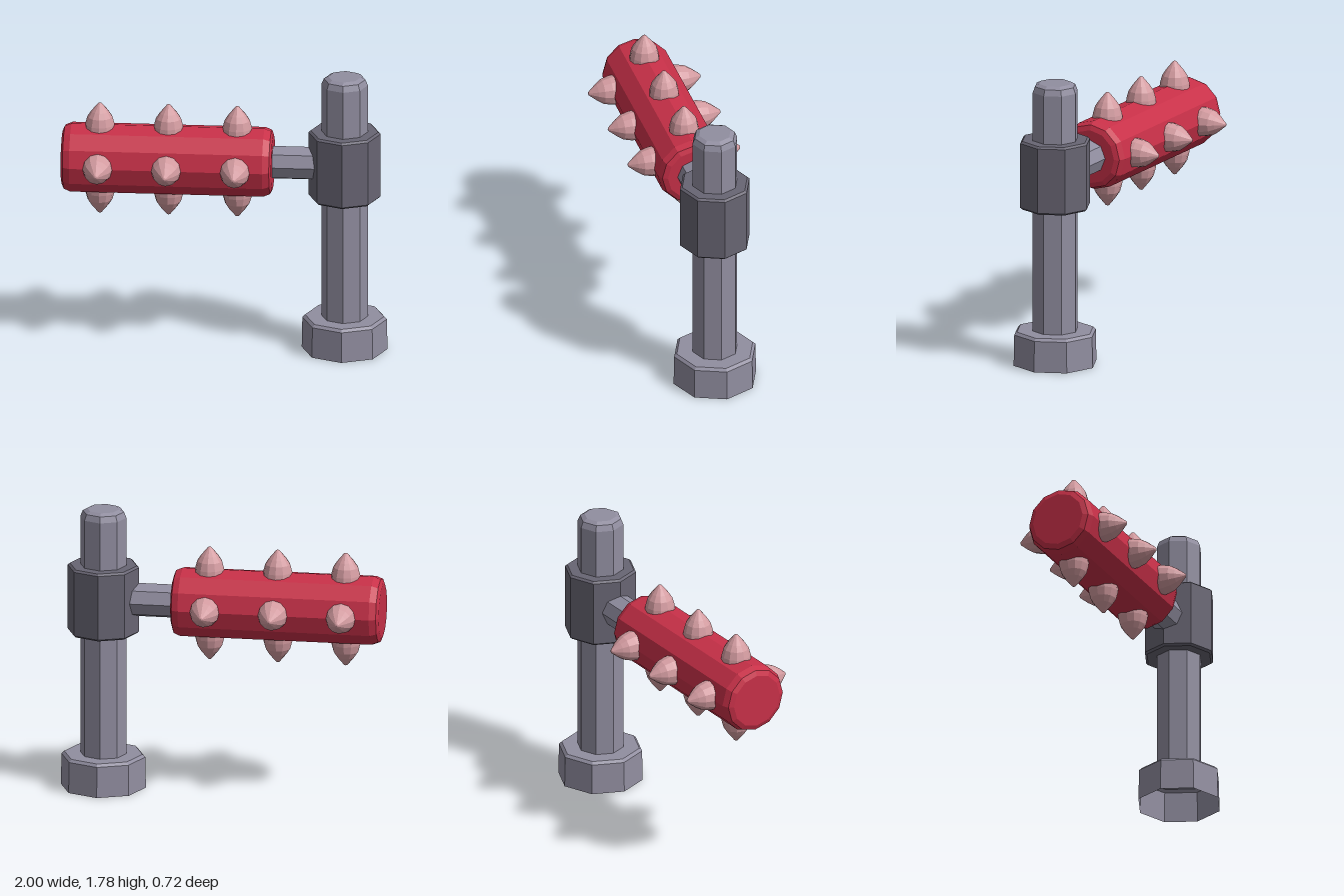
import * as THREE from 'three';

const CX = 0.735; // post axis
const CY = 1.205; // roller axis height

const mat = (name, color, side = THREE.FrontSide) => {
  const m = new THREE.MeshStandardMaterial({ color, side, flatShading: true });
  m.name = name;
  return m;
};

// Faceted solid of revolution about y; profile is [radius, height] from bottom to top
function turned(name, profile, sides, material) {
  const geo = new THREE.LatheGeometry(profile.map(([r, y]) => new THREE.Vector2(r, y)), sides);
  const mesh = new THREE.Mesh(geo, material);
  mesh.name = name;
  return mesh;
}

export function createModel() {
  const steel = mat('steel', 0x918ea0);
  const steelOpen = steel; // base shell is open underneath, so steel shows both sides
  steelOpen.side = THREE.DoubleSide;
  const darkSteel = mat('dark steel', 0x686573);
  const red = mat('red', 0xc83048);
  const pink = mat('pink', 0xd39ba0);

  const model = new THREE.Group();
  model.name = 'spikedRollerPost';

  // Upright: hollow foot, post and collar
  const upright = new THREE.Group();
  upright.name = 'upright';
  upright.position.x = CX;
  upright.add(
    turned('foot', [[0.264, 0], [0.26, 0.195], [0.243, 0.212], [0, 0.212]], 8, steelOpen),
    turned('post', [[0.143, 0.21], [0.143, 1.725], [0.128, 1.762], [0.1, 1.777], [0, 1.777]], 8, steel),
    turned('collar', [[0.14, 0.988], [0.208, 0.988], [0.222, 1.0], [0.222, 1.408], [0.208, 1.42], [0.14, 1.42]], 8, darkSteel)
  );
  model.add(upright);

  // Arm: everything turned about the horizontal axis, local +y running to -x
  const arm = new THREE.Group();
  arm.name = 'arm';
  arm.position.set(0, CY, 0);
  arm.rotation.z = Math.PI / 2;
  arm.add(
    turned('axle', [[0, -0.64], [0.106, -0.64], [0.106, -0.27], [0, -0.27]], 8, steel),
    turned('roller', [
      [0, -0.295], [0.168, -0.295], [0.2, -0.283], [0.217, -0.242],
      [0.217, 0.945], [0.2, 0.986], [0.168, 1], [0, 1]
    ], 12, red)
  );
  model.add(arm);

  // Spikes: three rings of four around the roller
  const spikeProfile = [[0.094, 0.18], [0.09, 0.222], [0.077, 0.27], [0.054, 0.305], [0.011, 0.357], [0, 0.361]];
  for (const x of [-0.77, -0.348, 0.075]) {
    const ring = new THREE.Group();
    ring.name = 'spikeRing';
    ring.position.set(x, CY, 0);
    for (let i = 0; i < 4; i++) {
      const spike = turned('spike', spikeProfile, 12, pink);
      spike.rotation.x = (i * Math.PI) / 2;
      ring.add(spike);
    }
    model.add(ring);
  }
  return model;
}
